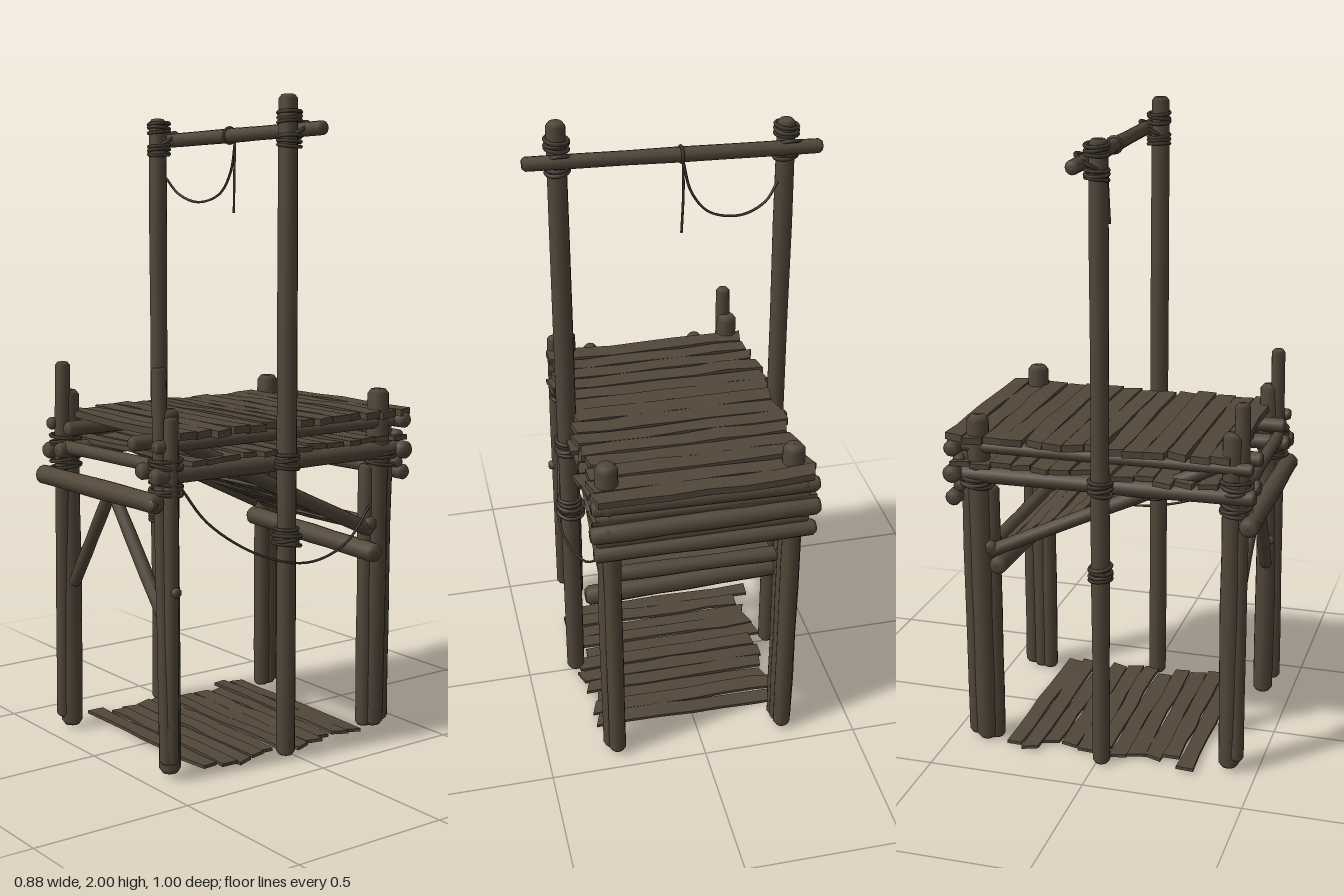
import * as THREE from 'three';

const wood = new THREE.MeshStandardMaterial({ color: 0x52473a });
wood.name = 'weathered wood';
const cord = new THREE.MeshStandardMaterial({ color: 0x40382e });
cord.name = 'dark rope';

// Small seeded generator for uneven timber
let seed = 7;
const rnd = (a = -1, b = 1) => {
  seed = (seed * 16807) % 2147483647;
  return a + (b - a) * (seed / 2147483647);
};
const V = (p) => new THREE.Vector3(...p);

export function createModel() {
  seed = 7;
  const root = new THREE.Group();
  root.name = 'timberPlatform';

  const add = (name, geo, mat = wood, parent = root) => {
    const m = new THREE.Mesh(geo, mat);
    m.name = name;
    parent.add(m);
    return m;
  };

  // Round log between two points, with worn ends and a slightly wavy outline
  const log = (name, a, b, r, parent = root) => {
    const from = V(a), dir = V(b).sub(from), len = dir.length(), e = r * 0.4;
    const pts = [[0.001, 0], [r * 0.7, 0], [r * 0.98, e]];
    for (let i = 1; i < 6; i++) pts.push([r * (1 + rnd() * 0.06), e + (len - 2 * e) * i / 6]);
    pts.push([r * 0.96, len - e], [r * 0.65, len], [0.001, len]);
    const geo = new THREE.LatheGeometry(pts.map((p) => new THREE.Vector2(...p)), 12);
    const m = add(name, geo, wood, parent);
    m.position.copy(from);
    m.quaternion.setFromUnitVectors(new THREE.Vector3(0, 1, 0), dir.normalize());
    return m;
  };

  // Rough board along x, with ragged ends and wavy long edges
  const plank = (name, x0, x1, y, z, h, w, parent) => {
    const geo = new THREE.BoxGeometry(x1 - x0, h, w, 6, 1, 1);
    const waves = Array.from({ length: 7 }, () => [rnd() * 0.004, rnd() * 0.004, rnd() * 0.003]);
    const ends = [rnd() * 0.01, rnd() * 0.01];
    const p = geo.attributes.position;
    for (let i = 0; i < p.count; i++) {
      const k = Math.round((p.getX(i) / (x1 - x0) + 0.5) * 6);
      const side = p.getZ(i) > 0 ? 1 : 0;
      p.setZ(i, p.getZ(i) + waves[k][side]);
      p.setY(i, p.getY(i) + waves[k][2]);
      if (k === 0 || k === 6) p.setX(i, p.getX(i) + (side ? 1 : -1) * ends[k / 6]);
    }
    geo.computeVertexNormals();
    const m = add(name, geo, wood, parent);
    m.position.set((x0 + x1) / 2, y, z);
    return m;
  };

  // Row of boards filling a depth range
  const deck = (name, half, ragged, y, z0, z1, n, h, gap) => {
    const g = new THREE.Group();
    g.name = name;
    const step = (z1 - z0) / n;
    for (let i = 0; i < n; i++) {
      const m = plank(name + 'Board', -half + rnd() * ragged, half + rnd() * ragged,
        y + rnd() * 0.004, z0 + step * (i + 0.5), h, step - gap, g);
      m.rotation.x = rnd() * 0.06;
      m.rotation.y = rnd() * 0.012;
    }
    root.add(g);
    return g;
  };

  const rope = (name, points, r = 0.004) =>
    add(name, new THREE.TubeGeometry(new THREE.CatmullRomCurve3(points.map(V)), 32, r, 6), cord);

  // Rope windings round a vertical post
  const lashing = (x, y, z, r, turns = 3) => {
    for (let i = 0; i < turns; i++) {
      const m = add('lashing', new THREE.TorusGeometry(r, 0.006, 6, 18), cord);
      m.position.set(x, y + (i - (turns - 1) / 2) * 0.013, z);
      m.rotation.set(Math.PI / 2 + rnd() * 0.15, rnd() * 0.15, 0);
    }
  };

  // Tall posts and their crossbar
  log('tallPostRight', [-0.345, 0, 0.015], [-0.345, 1.95, 0.015], 0.029);
  log('tallPostLeft', [0.337, 0, 0.015], [0.333, 2, 0.015], 0.03);
  log('crossbar', [-0.44, 1.878, -0.035], [0.44, 1.902, -0.035], 0.022);
  for (const [x, y] of [[-0.345, 1.885], [0.333, 1.9]]) {
    lashing(x, y + 0.035, 0.01, 0.034);
    lashing(x, y - 0.035, 0.01, 0.034);
    const loop = add('crossbarLashing', new THREE.TorusGeometry(0.045, 0.006, 6, 20), cord);
    loop.scale.set(0.85, 1, 1);
    loop.rotation.x = Math.PI / 2 + 0.5;
    loop.position.set(x, y, -0.012);
  }

  // Front legs: a tall pole with a thicker support beside it
  log('frontLegRight', [-0.275, 0.01, 0.41], [-0.28, 1.1, 0.405], 0.034);
  log('frontLegLeft', [0.275, 0.01, 0.405], [0.27, 1.1, 0.405], 0.033);
  log('frontPoleRight', [-0.285, 0.04, 0.435], [-0.272, 1.19, 0.43], 0.024);
  log('frontPoleLeft', [0.305, 0.05, 0.435], [0.263, 1.22, 0.43], 0.023);
  log('frontStubLeft', [0.312, 0.05, 0.425], [0.31, 1.08, 0.42], 0.022);

  // Back legs: pairs of posts
  for (const s of [-1, 1]) {
    log('backLeg', [s * 0.28, 0, -0.39], [s * 0.285, 1.1 - (s < 0 ? 0.01 : 0), -0.395], 0.036);
    log('backLegOuter', [s * 0.275, 0.01, -0.425], [s * 0.28, 0.98, -0.425], 0.028);
    log('backLegInner', [s * 0.27, 0, -0.362], [s * 0.27, 0.86, -0.362], 0.027);
  }

  // Upper deck and the rougher boards below it
  deck('upperDeck', 0.325, 0.012, 1.022, -0.495, 0.405, 14, 0.022, 0.003);
  deck('lowerDeck', 0.335, 0.018, 0.945, -0.47, 0.37, 13, 0.016, 0.006);

  // Ground boards
  deck('groundBoards', 0.31, 0.03, 0.011, -0.31, 0.31, 11, 0.01, 0.003);

  // Sloping boards under the deck, low at the back
  const ramp = deck('slopingBoards', 0.24, 0.008, 0, -0.26, 0.26, 8, 0.016, 0.004);
  ramp.position.set(0, 0.765, -0.12);
  ramp.rotation.x = -0.45;

  // Joists and side rails running front to back
  for (const s of [-1, 1]) {
    log('joist', [s * 0.18, 0.992, 0.475], [s * 0.18, 0.992, -0.47], 0.024);
    log('innerJoist', [s * 0.23, 0.918, 0.48], [s * 0.225, 0.915, -0.47], 0.026);
    log('sideRail', [s * 0.295, 0.995, 0.47], [s * 0.295, 0.995, -0.49], 0.02);
    log('lowerSideRail', [s * 0.3, 0.91, 0.48], [s * 0.3, 0.905, -0.49], 0.027);
    log('sideBrace', [s * 0.285, 0.995, 0.36], [s * 0.285, 0.645, -0.37], 0.023);
    log('frontBrace', [s * 0.25, 0.48, 0.41], [s * 0.005, 0.82, 0.425], 0.02);
    log('bracePeg', [s * 0.3, 0.83, 0.47], [s * 0.3, 0.83, 0.495], 0.018);
  }

  // Front beams
  log('frontBeam', [-0.345, 0.828, 0.467], [0.312, 0.832, 0.467], 0.031);
  log('frontUpperBeam', [-0.27, 0.925, 0.44], [0.27, 0.935, 0.44], 0.021);

  // Stacked beams across the back
  [[0.83, 0.34, 0.026], [0.91, 0.35, 0.03], [0.99, 0.345, 0.026]].forEach(([y, x, r]) =>
    log('backBeam', [-x, y, -0.465], [x, y + rnd() * 0.01, -0.465], r));
  for (const y of [0.865, 0.95]) log('backSlimBeam', [-0.32, y, -0.45], [0.33, y, -0.45], 0.02);
  log('backLowBeam', [-0.3, 0.605, -0.34], [0.35, 0.585, -0.34], 0.032);
  log('backMidBeam', [-0.31, 0.665, -0.36], [0.31, 0.67, -0.36], 0.024);

  // Lashings where timbers meet
  for (const x of [-0.345, 0.336]) {
    lashing(x, 0.915, 0.015, 0.035, 4);
    lashing(x, x > 0 ? 0.69 : 0.64, 0.015, 0.034, 4);
  }
  for (const s of [-1, 1]) {
    lashing(s * 0.28, 0.87, 0.418, 0.047);
    lashing(s * 0.28, 0.94, 0.418, 0.047);
    lashing(s * 0.28, 0.88, -0.405, 0.05);
  }
  log('legKnot', [0.24, 0.57, 0.42], [0.345, 0.57, 0.42], 0.016);

  // Hanging rope on the crossbar
  rope('crossbarRope', [[-0.32, 1.76, 0], [-0.28, 1.71, -0.02], [-0.2, 1.683, -0.04], [-0.1, 1.71, -0.055],
    [-0.045, 1.78, -0.058], [-0.02, 1.88, -0.057]]);
  rope('ropeTail', [[-0.02, 1.9, -0.057], [-0.022, 1.78, -0.055], [-0.018, 1.65, -0.05]]);
  const knot = add('ropeWrap', new THREE.TorusGeometry(0.024, 0.005, 6, 16), cord);
  knot.rotation.y = Math.PI / 2;
  knot.position.set(-0.02, 1.89, -0.035);

  // Slack rope along the left side, with a coil on the tall post
  rope('sideRope', [[0.3, 0.87, 0.38], [0.32, 0.76, 0.3], [0.35, 0.66, 0.16], [0.37, 0.61, 0.02],
    [0.36, 0.603, -0.1], [0.33, 0.64, -0.24], [0.3, 0.73, -0.35]]);
  for (let i = 0; i < 3; i++) {
    const coil = add('ropeCoil', new THREE.TorusGeometry(0.042, 0.006, 6, 20), cord);
    coil.rotation.set(Math.PI / 2 + rnd() * 0.3, rnd() * 0.3, 0);
    coil.position.set(0.334, 0.66 + i * 0.014, 0.012);
  }
  return root;
}
